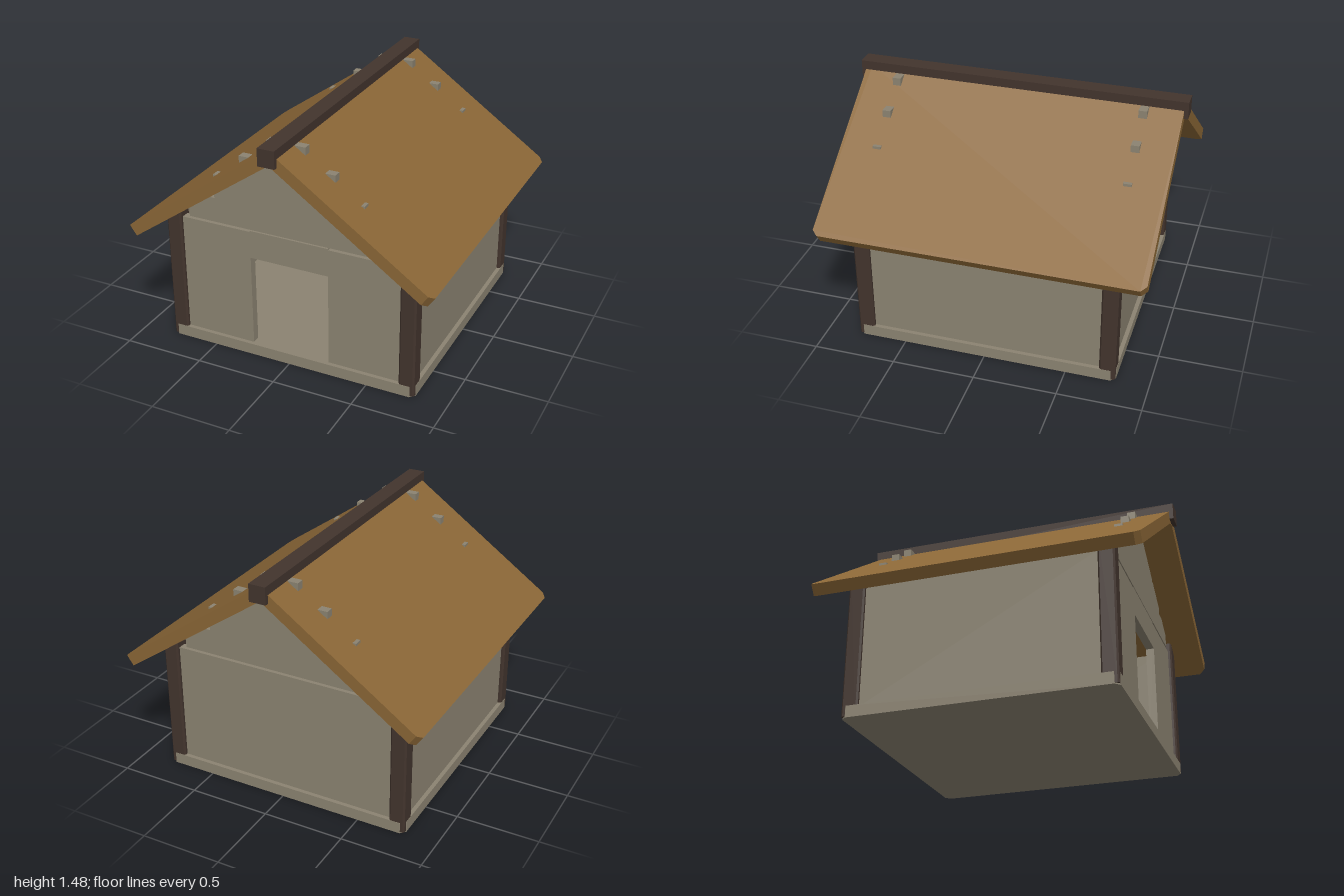
import * as THREE from 'three';

const stone = new THREE.MeshStandardMaterial({ color: 0x8b8371 });
stone.name = 'stone grey';
const darkWood = new THREE.MeshStandardMaterial({ color: 0x42342d });
darkWood.name = 'dark wood';
const roofWood = new THREE.MeshStandardMaterial({ color: 0x8a6636 });
roofWood.name = 'roof brown';

// Flat slab in the xz plane with clipped corners, its underside at y = 0
function clippedSlab(w, d, h, c) {
  const x = w / 2, y = d / 2;
  const pts = [[x - c, -y], [x, -y + c], [x, y - c], [x - c, y],
    [-x + c, y], [-x, y - c], [-x, -y + c], [-x + c, -y]];
  const shape = new THREE.Shape(pts.map(p => new THREE.Vector2(...p)));
  const geo = new THREE.ExtrudeGeometry(shape, { depth: h, bevelEnabled: false });
  return geo.rotateX(-Math.PI / 2);
}

function add(parent, name, geo, mat, x = 0, y = 0, z = 0) {
  const mesh = new THREE.Mesh(geo, mat);
  mesh.name = name;
  mesh.position.set(x, y, z);
  parent.add(mesh);
  return mesh;
}

// Box given by its limits in x and y, centred on z
function panel(parent, name, x0, x1, y0, y1, z) {
  add(parent, name, new THREE.BoxGeometry(x1 - x0, y1 - y0, 0.05), stone,
    (x0 + x1) / 2, (y0 + y1) / 2, z);
}

export function createModel() {
  const house = new THREE.Group();
  house.name = 'house';

  // Foundation and corner posts
  add(house, 'foundation', clippedSlab(1.6, 1.6, 0.07, 0.03), stone);
  const postGeo = clippedSlab(0.098, 0.098, 0.87, 0.01);
  for (const x of [-1, 1]) for (const z of [-1, 1])
    add(house, 'cornerPost', postGeo, darkWood, x * 0.749, 0.008, z * 0.749);

  // Front wall around the doorway, and the plain back wall
  panel(house, 'frontWallRight', -0.71, -0.25, 0.06, 0.82, 0.75);
  panel(house, 'frontWallLeft', 0.25, 0.71, 0.06, 0.82, 0.75);
  panel(house, 'doorLintel', -0.25, 0.25, 0.65, 0.827, 0.75);
  panel(house, 'backWall', -0.71, 0.71, 0.06, 0.82, -0.75);

  // Side walls
  for (const s of [-1, 1])
    add(house, 'sideWall', new THREE.BoxGeometry(0.05, 0.76, 1.42), stone, s * 0.75, 0.44, 0);

  // Stepped gables; the step corners poke through the roof
  const steps = [[0.65, 0.835, 0.99], [0.475, 0.99, 1.14], [0.3, 1.14, 1.29], [0.12, 1.29, 1.42]];
  const side = steps.flatMap(([w, y0, y1]) => [[w, y0], [w, y1]]);
  const outline = [...side, ...side.map(([x, y]) => [-x, y]).reverse()];
  const gableGeo = new THREE.ExtrudeGeometry(
    new THREE.Shape(outline.map(p => new THREE.Vector2(...p))),
    { depth: 0.05, bevelEnabled: false }).translate(0, 0, -0.025);
  add(house, 'frontGable', gableGeo, stone, 0, 0, 0.75);
  add(house, 'backGable', gableGeo, stone, 0, 0, -0.75);

  // Two sloping roof panels
  const length = 1.143;
  const roofGeo = clippedSlab(length, 1.95, 0.071, 0.033)
    .translate(length / 2 - 0.02, 0, 0)
    .rotateZ(THREE.MathUtils.degToRad(-35));
  add(house, 'roofLeft', roofGeo, roofWood, 0, 1.37, 0);
  add(house, 'roofRight', roofGeo, roofWood, 0, 1.37, 0).rotation.y = Math.PI;

  // Ridge beam
  add(house, 'ridgeBeam', new THREE.BoxGeometry(0.104, 0.106, 2), darkWood, 0, 1.422, 0);

  return house;
}
